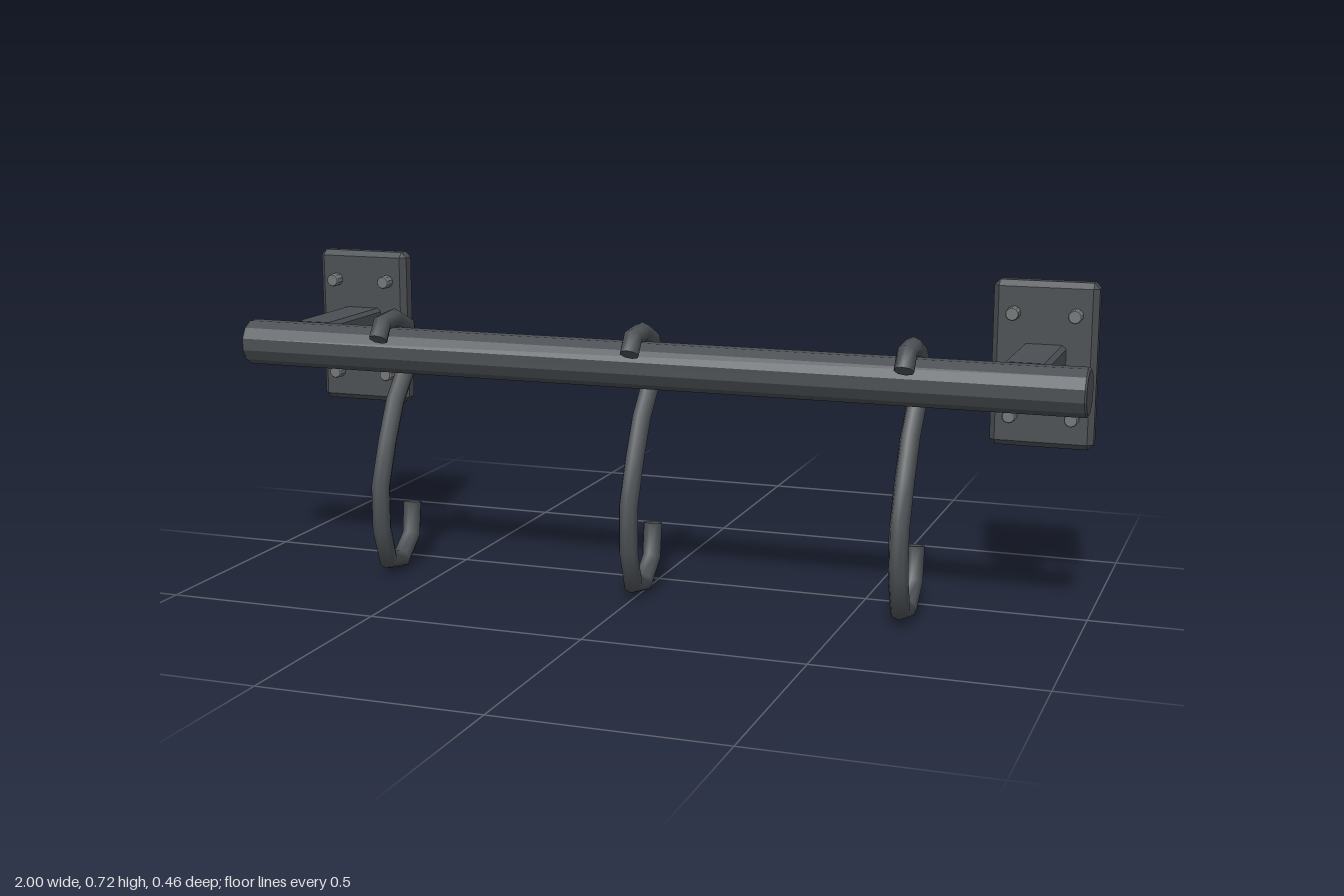
import * as THREE from 'three';
import { mergeGeometries } from 'three/addons/utils/BufferGeometryUtils.js';
import { ConvexGeometry } from 'three/addons/geometries/ConvexGeometry.js';

const RAIL_Y = 0.533, RAIL_Z = 0.12;

// Box whose edges and corners are all cut by one flat chamfer
function chamferBox(w, h, d, b) {
  const half = [w / 2, h / 2, d / 2], points = [];
  for (const sx of [-1, 1]) for (const sy of [-1, 1]) for (const sz of [-1, 1])
    for (let full = 0; full < 3; full++) {
      const p = half.map((v, i) => (i === full ? v : v - b));
      points.push(new THREE.Vector3(sx * p[0], sy * p[1], sz * p[2]));
    }
  return new ConvexGeometry(points);
}

function faceted(geometry) {
  const flat = geometry.toNonIndexed();
  flat.computeVertexNormals();
  return flat;
}

// Path with one ring at each given point
class BentPath extends THREE.Curve {
  constructor(points) { super(); this.points = points; }
  at(i) { return this.points[THREE.MathUtils.clamp(i, 0, this.points.length - 1)]; }
  getPoint(t, target = new THREE.Vector3()) {
    const f = t * (this.points.length - 1), i = Math.floor(f + 1e-6);
    return target.copy(this.at(i)).lerp(this.at(i + 1), Math.max(0, f - i));
  }
  getPointAt(u, target) { return this.getPoint(u, target); }
  getTangentAt(u, target = new THREE.Vector3()) {
    const i = Math.round(u * (this.points.length - 1));
    const before = this.at(i).clone().sub(this.at(i - 1)).normalize();
    const after = this.at(i + 1).clone().sub(this.at(i)).normalize();
    return target.copy(before).add(after).normalize();
  }
}

// S-shaped hook with closed ends, given as [z, y] from top tip to bottom tip
function hookGeometry() {
  const path = new BentPath([
    [0.199, 0.569], [0.176, 0.604], [0.117, 0.608], [0.056, 0.582], [0.042, 0.53],
    [0.063, 0.476], [0.122, 0.41], [0.166, 0.325], [0.207, 0.222], [0.207, 0.12],
    [0.178, 0.036], [0.111, 0.023], [0.055, 0.069], [0.044, 0.149],
  ].map(([z, y]) => new THREE.Vector3(0, y, z)));
  const r = 0.0225;
  const caps = [0, 1].map((u) => {
    const cap = new THREE.CircleGeometry(r, 8);
    cap.lookAt(path.getTangentAt(u).multiplyScalar(u ? 1 : -1));
    const p = path.getPointAt(u);
    return cap.translate(p.x, p.y, p.z);
  });
  return mergeGeometries([new THREE.TubeGeometry(path, path.points.length - 1, r, 8), ...caps]);
}

export function createModel() {
  const model = new THREE.Group();
  const iron = new THREE.MeshStandardMaterial({ color: 0x4b4f53 });
  iron.name = 'dark iron';
  const steel = new THREE.MeshStandardMaterial({ color: 0x737778 });
  steel.name = 'bolt steel';

  function add(parent, name, geometry, material, x, y, z) {
    const mesh = new THREE.Mesh(geometry, material);
    mesh.name = name;
    mesh.position.set(x, y, z);
    parent.add(mesh);
  }

  // Twelve-sided rail with lightly chamfered ends
  const r = 0.054, b = 0.004;
  const profile = [[0, -1], [r - b, -1], [r, b - 1], [r, 1 - b], [r - b, 1], [0, 1]]
    .map(([x, y]) => new THREE.Vector2(x, y));
  const rail = new THREE.LatheGeometry(profile, 12).rotateY(Math.PI / 12).rotateZ(Math.PI / 2);
  add(model, 'rail', faceted(rail), iron, 0, RAIL_Y, RAIL_Z);

  // Wall brackets: plate, arm and four bolts on each side
  const plate = chamferBox(0.236, 0.38, 0.052, 0.013);
  const arm = chamferBox(0.1, 0.097, 0.285, 0.009);
  const bolt = faceted(new THREE.LatheGeometry(
    [[0, 0], [0.016, 0], [0.016, 0.031], [0.014, 0.034], [0, 0.034]]
      .map(([x, y]) => new THREE.Vector2(x, y)), 10).rotateX(Math.PI / 2));
  for (const side of [-1, 1]) {
    const bracket = new THREE.Group();
    bracket.name = side > 0 ? 'leftBracket' : 'rightBracket';
    bracket.position.x = side * 0.855;
    add(bracket, 'wallPlate', plate, iron, 0, RAIL_Y, -0.2);
    add(bracket, 'arm', arm, iron, 0, RAIL_Y, -0.0525);
    for (const x of [-0.07, 0.07]) for (const y of [-0.117, 0.117])
      add(bracket, 'bolt', bolt, steel, x, RAIL_Y + y, -0.182);
    model.add(bracket);
  }

  // Three hooks hanging over the rail
  const hook = hookGeometry();
  for (const x of [-0.62, 0, 0.62]) add(model, 'hook', hook, iron, x, 0, 0);

  return model;
}
